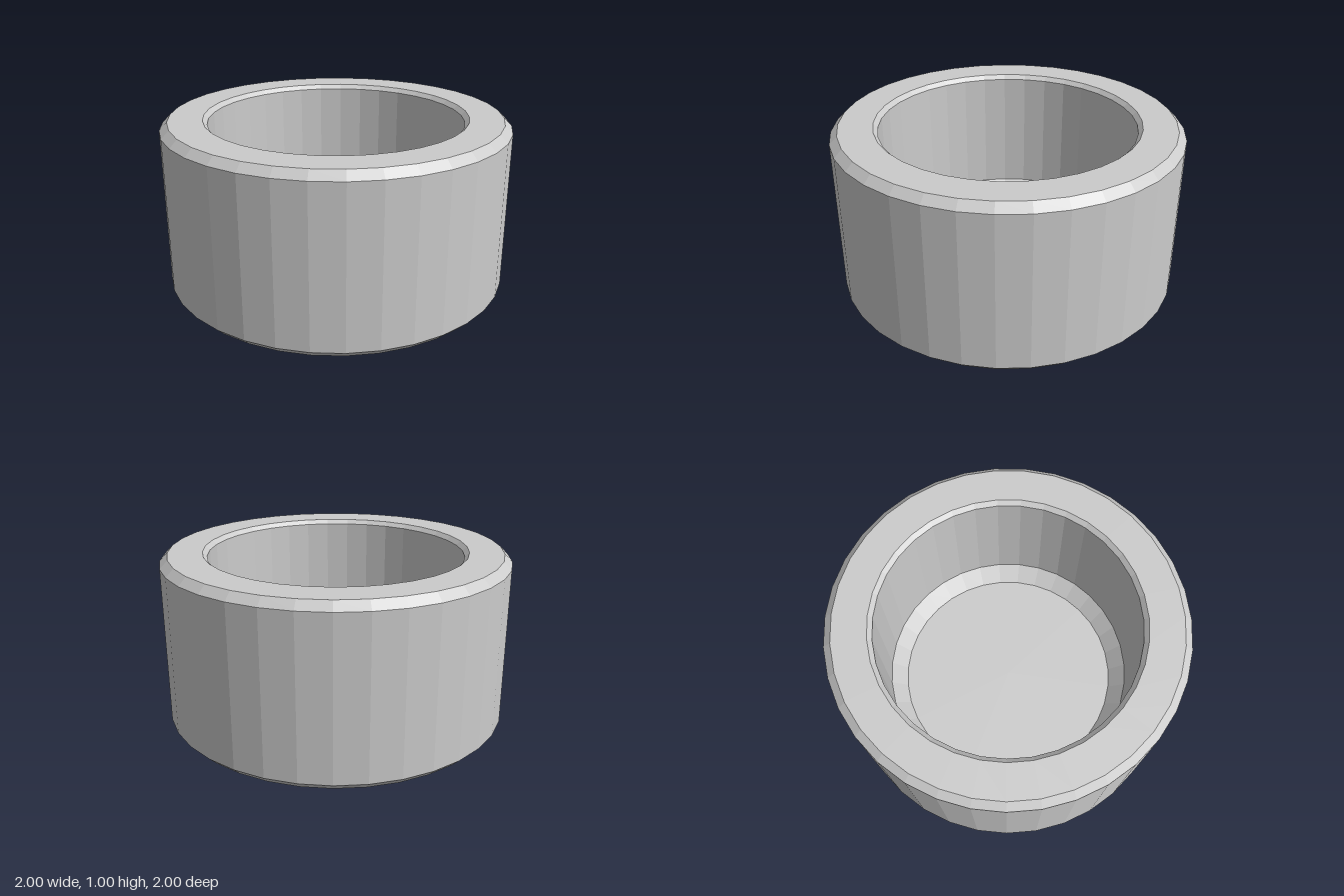
import * as THREE from 'three';

export function createModel() {
  const group = new THREE.Group();
  const floor = 0.15;

  // Half section of the cup: underside, outer wall, rim, inner wall, floor
  const profile = [
    [0, 0], [0.955, 0], [1, 0.045],
    [1, 0.955], [0.955, 1],
    [0.76, 1], [0.735, 0.975],
    [0.735, floor + 0.09], [0.645, floor], [0, floor],
  ].map(([r, y]) => new THREE.Vector2(r, y));

  const material = new THREE.MeshStandardMaterial({ color: 0xcccccc, flatShading: true });
  const cup = new THREE.Mesh(new THREE.LatheGeometry(profile, 35, Math.PI / 2), material);
  cup.name = 'cup';
  group.add(cup);
  return group;
}
